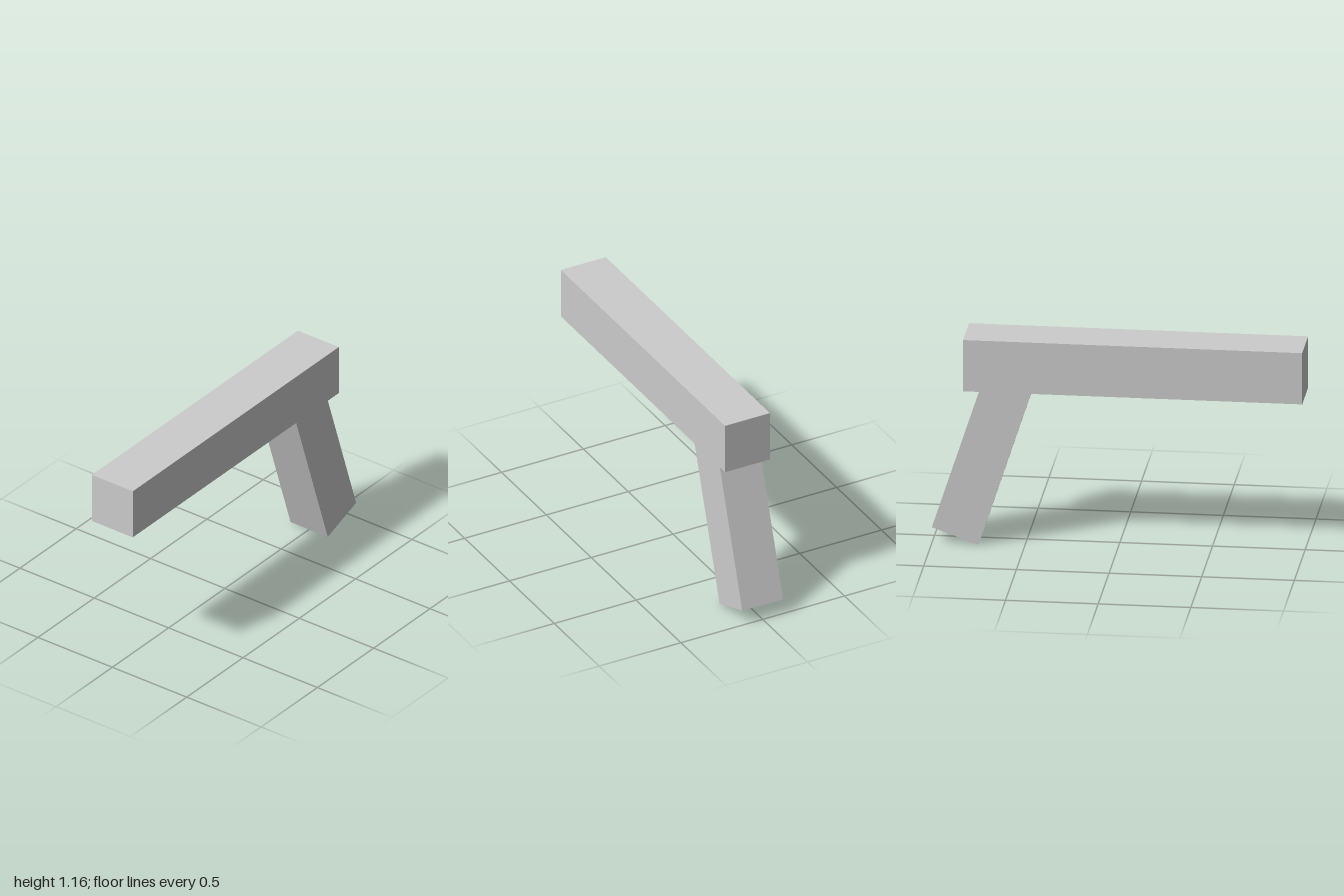
import * as THREE from 'three';

// Solid with a straight side profile, centred on z = 0
function slab(name, points, depth, material) {
  const shape = new THREE.Shape(points.map(([x, y]) => new THREE.Vector2(x, y)));
  const geometry = new THREE.ExtrudeGeometry(shape, { depth, bevelEnabled: false });
  geometry.translate(0, 0, -depth / 2);
  const mesh = new THREE.Mesh(geometry, material);
  mesh.name = name;
  return mesh;
}

export function createModel() {
  const group = new THREE.Group();
  group.name = 'model';
  const grey = new THREE.MeshStandardMaterial({ color: 0xcccccc, flatShading: true });

  // Long horizontal bar
  const left = -1, right = 0.83, bottom = 0.873, top = 1.164;
  const bar = new THREE.Mesh(new THREE.BoxGeometry(right - left, top - bottom, 0.275), grey);
  bar.name = 'bar';
  bar.position.set((left + right) / 2, (bottom + top) / 2, 0);
  group.add(bar);

  // Slanted handle, its upper end set into the bar
  const heel = [0.748, 0], toe = [1, 0.09], lean = 0.326, sink = 0.95;
  const up = ([x, y]) => [x - (sink - y) * lean, sink];
  group.add(slab('handle', [heel, toe, up(toe), up(heel)], 0.25, grey));

  return group;
}
